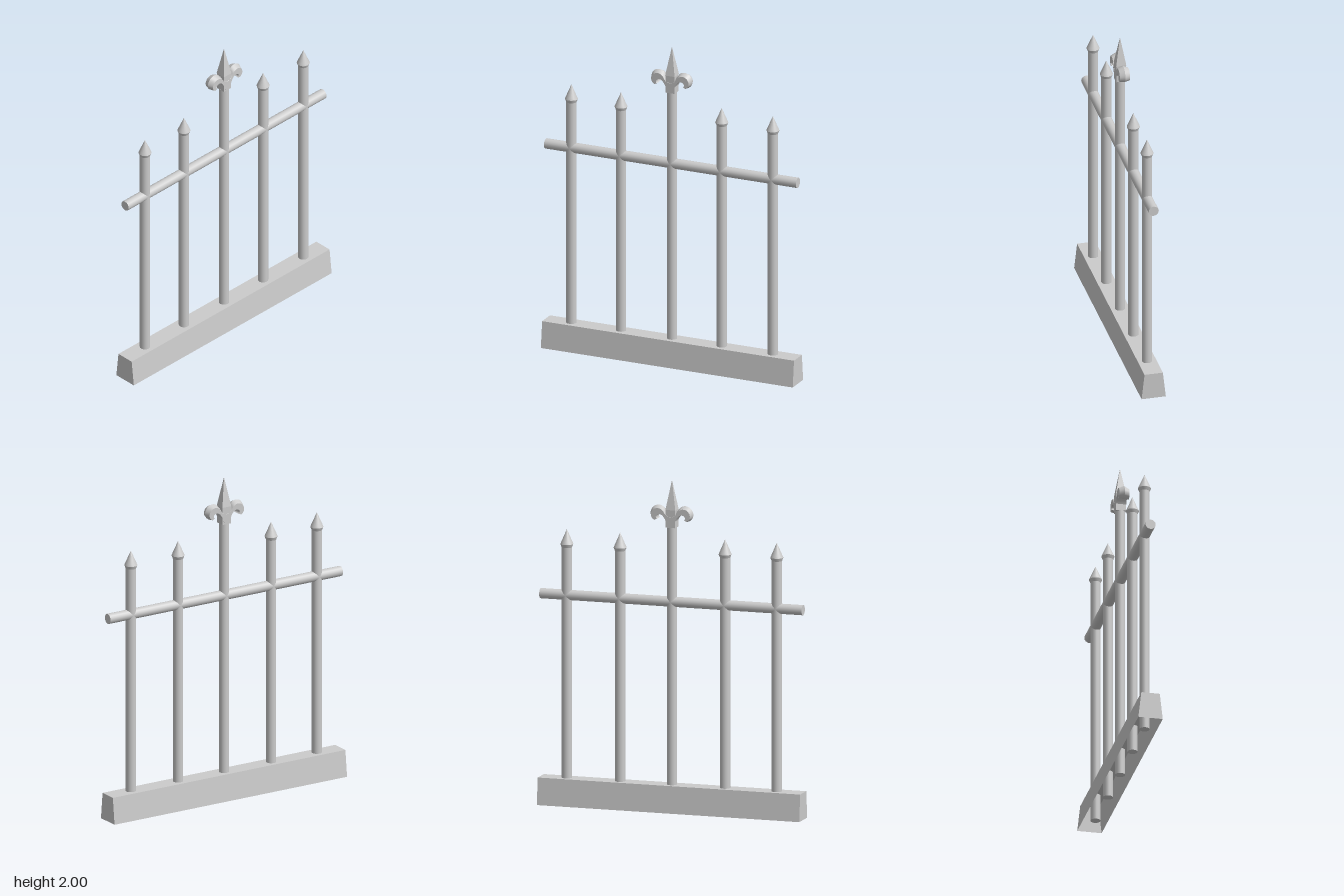
import * as THREE from 'three';
import { toCreasedNormals } from 'three/addons/utils/BufferGeometryUtils.js';

const material = new THREE.MeshStandardMaterial({ color: 0xcccccc });
const thinMaterial = new THREE.MeshStandardMaterial({ color: 0xcccccc, side: THREE.DoubleSide });

const POST_R = 0.031;
const RAIL_Y = 1.265;
const HALF_LENGTH = 0.82;

function add(parent, name, geometry, y = 0, mat = material) {
  const mesh = new THREE.Mesh(geometry, mat);
  mesh.name = name;
  mesh.position.y = y;
  parent.add(mesh);
  return mesh;
}

// Tapered plinth, hollow and open underneath
function plinthGeometry() {
  const height = 0.163;
  const geo = new THREE.BoxGeometry(0.148, height, HALF_LENGTH * 2);
  geo.translate(0, height / 2, 0);
  const pos = geo.attributes.position;
  for (let i = 0; i < pos.count; i++) {
    if (pos.getY(i) > 0.01) pos.setX(i, Math.sign(pos.getX(i)) * 0.056);
  }
  const index = Array.from(geo.index.array);
  index.splice(18, 6); // drop the bottom face
  geo.setIndex(index);
  geo.clearGroups();
  geo.computeVertexNormals();
  return geo;
}

// Curled petal swept towards +z: flat cheeks, ridged outer edge
function petalGeometry() {
  const curve = (pts) => new THREE.CatmullRomCurve3(pts.map(([z, y]) => new THREE.Vector3(0, y, z)));
  const outer = curve([[0, 1.8], [0.033, 1.812], [0.055, 1.838], [0.085, 1.846],
    [0.116, 1.834], [0.134, 1.8], [0.126, 1.77], [0.108, 1.755]]);
  const inner = curve([[0, 1.715], [0.018, 1.727], [0.034, 1.765], [0.055, 1.79],
    [0.078, 1.793], [0.09, 1.783], [0.09, 1.77], [0.084, 1.765]]);
  const steps = 21, ring = 5, w = 0.031;
  const positions = [], index = [];
  for (let s = 0; s <= steps; s++) {
    const o = outer.getPoint(s / steps), i = inner.getPoint(s / steps);
    const m = i.clone().lerp(o, 0.72);
    positions.push(w, i.y, i.z, w, m.y, m.z, 0, o.y, o.z, -w, m.y, m.z, -w, i.y, i.z);
    if (s === steps) break;
    for (let j = 0; j < ring; j++) {
      const a = s * ring + j, b = s * ring + (j + 1) % ring;
      index.push(a, b, b + ring, a, b + ring, a + ring);
    }
  }
  const end = steps * ring;
  for (let j = 1; j < ring - 1; j++) index.push(end, end + j, end + j + 1);
  const geo = new THREE.BufferGeometry();
  geo.setAttribute('position', new THREE.Float32BufferAttribute(positions, 3));
  geo.setIndex(index);
  return toCreasedNormals(geo, 0.5);
}

function postGeometry(top) {
  return new THREE.CylinderGeometry(POST_R, POST_R, top, 16).translate(0, top / 2, 0);
}

// Pointed cap with a short flared collar
function capGeometry() {
  const profile = [[0, 0], [0.03, 0], [0.039, 0.022], [0.034, 0.034], [0, 0.112]];
  const geo = new THREE.LatheGeometry(profile.map(([r, y]) => new THREE.Vector2(r, y)), 16);
  return toCreasedNormals(geo, 0.5);
}

export function createModel() {
  const model = new THREE.Group();
  model.name = 'fencePanel';

  add(model, 'plinth', plinthGeometry(), 0, thinMaterial);

  // Horizontal rail
  const rail = add(model, 'rail', new THREE.CylinderGeometry(POST_R, POST_R, HALF_LENGTH * 2, 16), RAIL_Y);
  rail.rotation.x = Math.PI / 2;

  // Side posts with pointed caps
  for (const z of [0.655, 0.332, -0.324, -0.657]) {
    const post = new THREE.Group();
    post.name = 'sidePost';
    post.position.z = z;
    add(post, 'shaft', postGeometry(1.56));
    add(post, 'pointedCap', capGeometry(), 1.55);
    model.add(post);
  }

  // Tall middle post with a spear and two curled petals
  const middle = new THREE.Group();
  middle.name = 'middlePost';
  add(middle, 'shaft', postGeometry(1.72));
  add(middle, 'finialCore', new THREE.BoxGeometry(0.06, 0.108, 0.06), 1.769);
  const spear = new THREE.CylinderGeometry(0, 0.031 * Math.SQRT2, 0.178, 4).rotateY(Math.PI / 4);
  add(middle, 'spear', toCreasedNormals(spear, 0.3), 1.911);
  for (const turn of [0, Math.PI]) {
    add(middle, 'petal', petalGeometry()).rotation.y = turn;
  }
  model.add(middle);

  return model;
}
